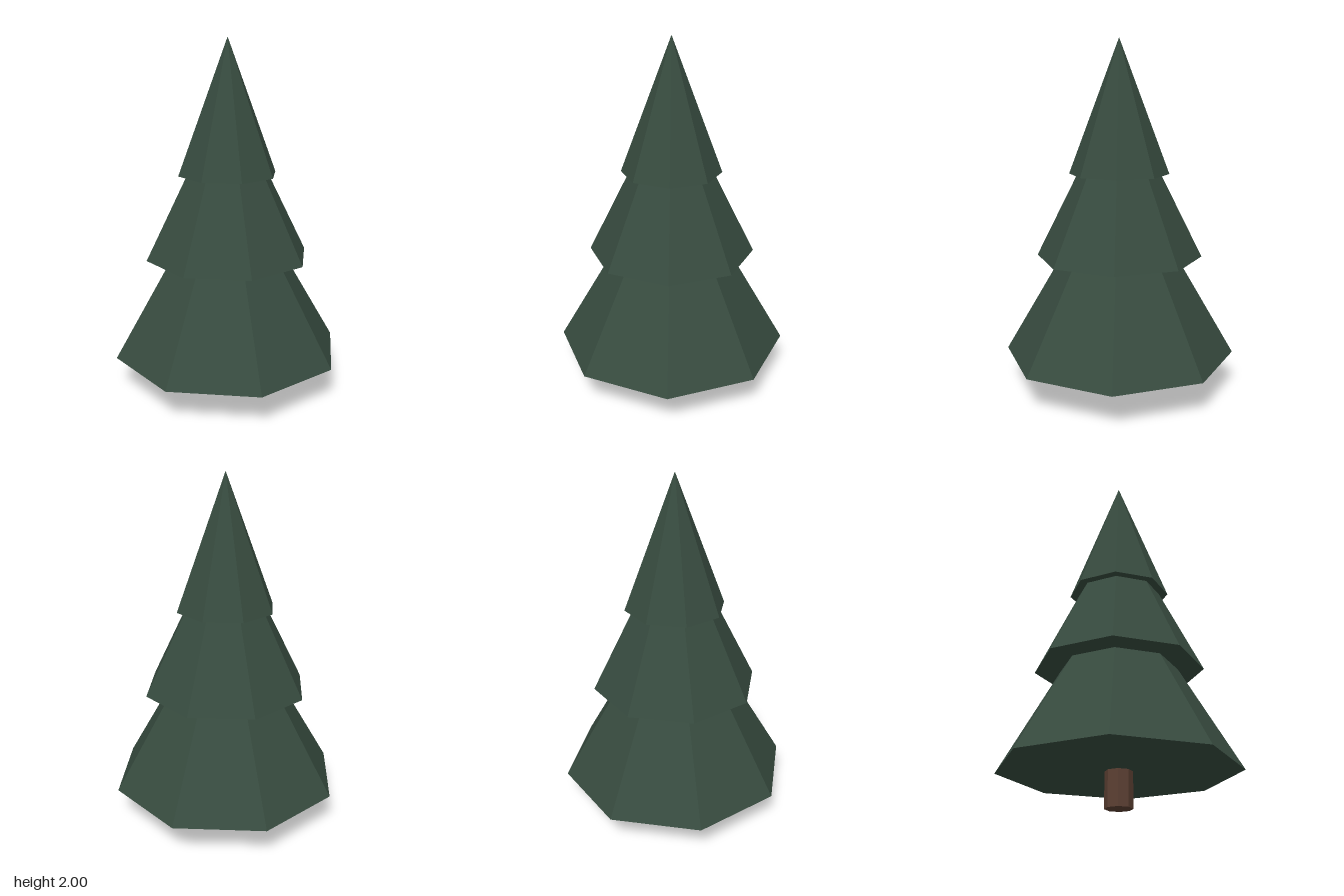
import * as THREE from 'three';

export function createModel() {
  const tree = new THREE.Group();
  tree.name = 'pineTree';

  const needles = new THREE.MeshStandardMaterial({ color: 0x374b3f });
  needles.name = 'needle green';
  const bark = new THREE.MeshStandardMaterial({ color: 0x5c4033 });
  bark.name = 'bark brown';

  const SIDES = 8;

  // Non-indexed geometry gives every facet its own flat normal
  function addPart(name, geometry, material, baseY, height) {
    const flat = geometry.toNonIndexed();
    flat.computeVertexNormals();
    const mesh = new THREE.Mesh(flat, material);
    mesh.name = name;
    mesh.position.y = baseY + height / 2;
    tree.add(mesh);
  }

  // Trunk, reaching just inside the lowest tier
  addPart('trunk', new THREE.CylinderGeometry(0.076, 0.076, 0.3, SIDES), bark, 0, 0.3);

  // Overlapping foliage tiers: [name, radius, base height, cone height]
  const tiers = [
    ['lowerFoliage', 0.665, 0.196, 1.14],
    ['middleFoliage', 0.475, 0.769, 0.95],
    ['upperFoliage', 0.285, 1.246, 0.754],
  ];
  for (const [name, radius, baseY, height] of tiers) {
    addPart(name, new THREE.ConeGeometry(radius, height, SIDES), needles, baseY, height);
  }

  return tree;
}
